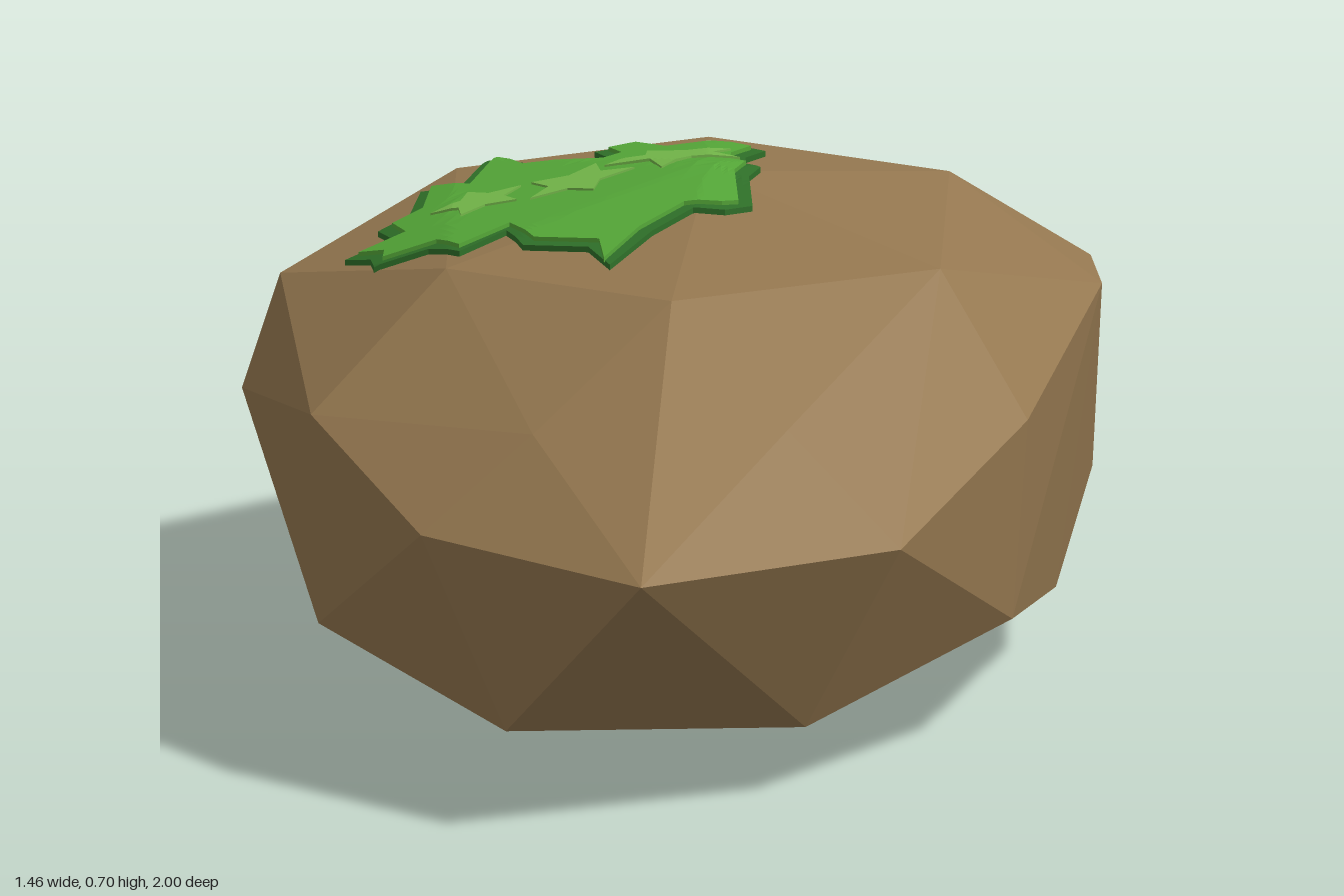
import * as THREE from 'three';
import { ConvexGeometry } from 'three/addons/geometries/ConvexGeometry.js';

// Corners of the boulder, one band at a time [x, y, z]
const CROWN = [
  [0.0, 0.69, -0.07], [0.26, 0.635, 0.45], [0.47, 0.635, 0.08], [-0.15, 0.62, 0.38],
  [-0.47, 0.62, -0.17], [-0.3, 0.61, -0.56], [0.11, 0.615, -0.53],
];
const SHOULDER = [
  [0.51, 0.5, 0.55], [0.2, 0.49, 0.72], [-0.57, 0.5, -0.71], [-0.24, 0.5, -0.85],
  [0.475, 0.535, -0.34], [-0.53, 0.535, 0.2],
];
const GIRTH = [
  [0.725, 0.365, 0.6], [0.655, 0.455, 0.15], [0.18, 0.455, -0.79], [0.545, 0.365, 0.995],
  [0.11, 0.365, 0.87], [-0.21, 0.455, 0.64], [-0.58, 0.37, 0.22], [-0.73, 0.46, -0.32],
  [-0.49, 0.36, -0.96], [-0.715, 0.36, -0.71],
];
const BASE = [
  [0.63, 0.17, 0.15], [0.57, 0.095, 0.6], [0.23, 0.095, 0.84], [-0.21, 0.155, 0.62],
  [-0.48, 0.095, 0.15], [-0.7, 0.16, -0.32], [-0.65, 0.09, -0.82], [-0.28, 0.095, -1.0],
  [0.18, 0.155, -0.795], [0.4, 0.095, -0.34], [0.25, 0.03, 0.43], [-0.02, 0.0, -0.07],
  [-0.28, 0.02, -0.56],
];

// Ragged edge of the moss patch, seen from above [x, z]
const MOSS = [
  [-0.16, -0.41], [-0.1, -0.385], [-0.05, -0.25], [0, -0.17], [0.03, -0.16], [0.06, -0.08],
  [0.14, 0.04], [0.12, 0.08], [0.08, 0.1], [0.075, 0.2], [0.095, 0.345], [0.02, 0.28],
  [-0.08, 0.29], [-0.15, 0.22], [-0.165, 0.32], [-0.24, 0.28], [-0.31, 0.31], [-0.34, 0.27],
  [-0.4, 0.24], [-0.36, 0.18], [-0.42, 0.12], [-0.4, 0.07], [-0.455, -0.05], [-0.38, -0.03],
  [-0.43, -0.19], [-0.33, -0.14], [-0.23, -0.16], [-0.25, -0.21], [-0.32, -0.29],
  [-0.305, -0.385], [-0.21, -0.32], [-0.195, -0.385],
];

// Height of the convex boulder: the lowest of its upward facing planes
function heightField(geometry) {
  const p = geometry.attributes.position;
  const planes = [];
  for (let i = 0; i < p.count; i += 3) {
    const [a, b, c] = [0, 1, 2].map((k) => new THREE.Vector3().fromBufferAttribute(p, i + k));
    const plane = new THREE.Plane().setFromCoplanarPoints(a, b, c);
    if (plane.normal.y > 0.05) planes.push(plane);
  }
  return (x, z) => Math.min(...planes.map(({ normal: n, constant: d }) => -(d + n.x * x + n.z * z) / n.y));
}

// Split every triangle in four
function subdivide(geometry) {
  const p = geometry.attributes.position;
  const out = [];
  for (let i = 0; i < p.count; i += 3) {
    const [a, b, c] = [0, 1, 2].map((k) => new THREE.Vector3().fromBufferAttribute(p, i + k));
    const ab = a.clone().lerp(b, 0.5), bc = b.clone().lerp(c, 0.5), ca = c.clone().lerp(a, 0.5);
    out.push(a, ab, ca, ab, b, bc, ca, bc, c, ab, bc, ca);
  }
  return new THREE.BufferGeometry().setFromPoints(out);
}

// Move an outline inwards by an even margin
function inset(points, margin) {
  return points.map(([x, z], i) => {
    const [px, pz] = points.at(i - 1);
    const [nx, nz] = points[(i + 1) % points.length];
    const t = new THREE.Vector2(nx - px, nz - pz).normalize();
    return [x - t.y * margin, z + t.x * margin];
  });
}

// Five-pointed star outline
function star(cx, cz, rx, rz, turn) {
  return Array.from({ length: 10 }, (_, i) => {
    const a = turn + (i * Math.PI) / 5;
    const r = i % 2 ? 0.5 : 1;
    return [cx + Math.sin(a) * rx * r, cz - Math.cos(a) * rz * r];
  });
}

// Thin slab following the boulder's surface
function drape(name, outline, lift, depth, color, height) {
  const shape = new THREE.Shape(outline.map(([x, z]) => new THREE.Vector2(x, -z)));
  let geometry = new THREE.ExtrudeGeometry(shape, { depth, bevelEnabled: false });
  geometry.rotateX(-Math.PI / 2);
  for (let i = 0; i < 3; i++) geometry = subdivide(geometry);
  const p = geometry.attributes.position;
  for (let i = 0; i < p.count; i++) p.setY(i, p.getY(i) + lift + height(p.getX(i), p.getZ(i)));
  geometry.computeVertexNormals();
  const mesh = new THREE.Mesh(geometry, new THREE.MeshStandardMaterial({ color, side: THREE.DoubleSide }));
  mesh.name = name;
  return mesh;
}

export function createModel() {
  const model = new THREE.Group();
  model.name = 'mossyBoulder';

  // Boulder
  const corners = [...CROWN, ...SHOULDER, ...GIRTH, ...BASE].map((c) => new THREE.Vector3(...c));
  const rockGeometry = new ConvexGeometry(corners);
  const rock = new THREE.Mesh(rockGeometry, new THREE.MeshStandardMaterial({ color: 0x957850, flatShading: true }));
  rock.name = 'boulder';
  model.add(rock);

  // Moss: dark rim, bright patch and three pale stars
  const height = heightField(rockGeometry);
  const moss = new THREE.Group();
  moss.name = 'moss';
  moss.add(drape('mossRim', MOSS, -0.002, 0.01, 0x2f7029, height));
  moss.add(drape('mossPatch', inset(MOSS, 0.02), 0.006, 0.008, 0x55a838, height));
  const stars = [
    [-0.1, -0.15, 0.095, 0.115, 0.2],
    [-0.17, 0, 0.075, 0.09, -0.3],
    [-0.28, 0.08, 0.065, 0.075, 0.4],
  ];
  for (const s of stars) moss.add(drape('mossStar', star(...s), 0.013, 0.004, 0x74b84a, height));
  model.add(moss);

  return model;
}
